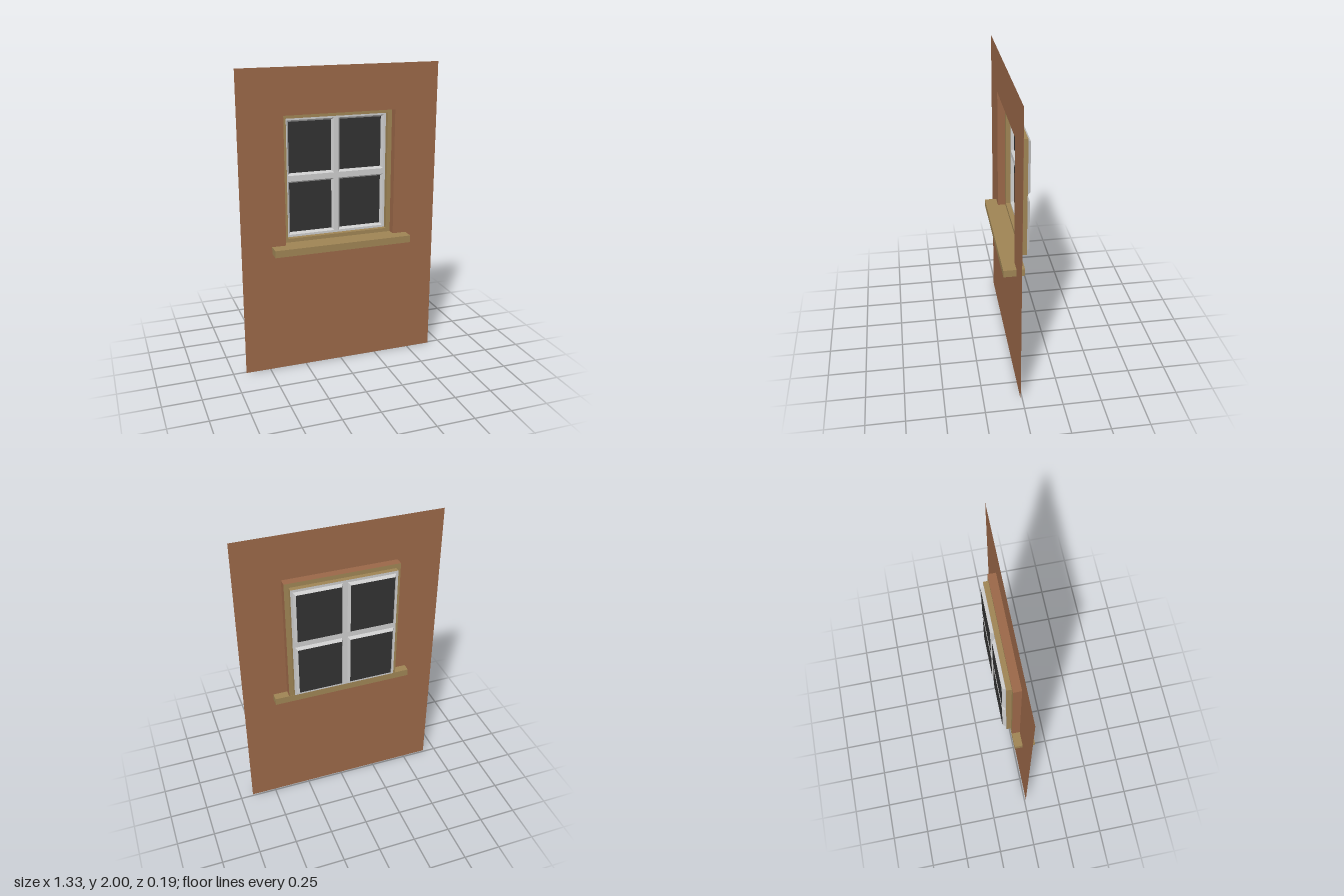
import * as THREE from 'three';

const paint = (color) => new THREE.MeshStandardMaterial({ color, flatShading: true, side: THREE.DoubleSide });
const brick = paint(0x9a6748);
const wood = paint(0x9e8454);
const white = paint(0xcccccc);
const glass = paint(0x323232);

// Rectangle as left, right, bottom, top
const rect = (l, r, b, t) => ({ l, r, b, t });
const inset = (q, d) => rect(q.l + d, q.r - d, q.b + d, q.t - d);

// Four-sided band joining rectangle a at depth za to rectangle b at depth zb
function band(a, za, b, zb) {
  const corners = (q, z) => [[q.l, q.b, z], [q.r, q.b, z], [q.r, q.t, z], [q.l, q.t, z]];
  const A = corners(a, za), B = corners(b, zb), pos = [];
  for (let i = 0; i < 4; i++) {
    const j = (i + 1) % 4;
    pos.push(...A[i], ...A[j], ...B[j], ...A[i], ...B[j], ...B[i]);
  }
  const g = new THREE.BufferGeometry();
  g.setAttribute('position', new THREE.Float32BufferAttribute(pos, 3));
  g.computeVertexNormals();
  return g;
}

// Flat sheet with rectangular holes
function sheet(q, holes, z) {
  const trace = (path, { l, r, b, t }) => path.moveTo(l, b).lineTo(r, b).lineTo(r, t).lineTo(l, t).closePath();
  const shape = trace(new THREE.Shape(), q);
  shape.holes = holes.map((h) => trace(new THREE.Path(), h));
  return new THREE.ShapeGeometry(shape).translate(0, 0, z);
}

export function createModel() {
  const model = new THREE.Group();
  const add = (name, geometry, material, parent = model) => {
    const mesh = new THREE.Mesh(geometry, material);
    mesh.name = name;
    parent.add(mesh);
    return mesh;
  };

  // Depths from the wall face back to the glass
  const zWall = 0.011, zFrame = -0.041, zSash = -0.073, zGlass = -0.093;
  const wall = rect(-0.665, 0.665, 0, 2);
  const opening = rect(-0.372, 0.372, 0.86, 1.705);
  const sash = rect(-0.343, 0.343, 0.891, 1.677);

  // Thin wall with its opening and the brick reveal behind it
  add('wall', sheet(wall, [opening], zWall), brick);
  add('reveal', band(opening, zWall, opening, zFrame), brick);

  // Timber frame: front face and inner return
  add('frameFace', sheet(opening, [sash], zFrame), wood);
  add('frameReturn', band(sash, zFrame, sash, zSash), wood);

  // Sash with four bevelled, recessed panes
  const panes = [];
  for (const [b, t] of [[0.906, 1.264], [1.302, 1.66]]) {
    panes.push(rect(-0.328, -0.016, b, t), rect(0.016, 0.328, b, t));
  }
  add('sash', sheet(sash, panes, zSash), white);
  panes.forEach((p, i) => {
    const pane = new THREE.Group();
    pane.name = `pane${i + 1}`;
    const inner = inset(p, 0.013);
    add('paneBevel', band(p, zSash, inner, zGlass), white, pane);
    add('paneGlass', sheet(inner, [], zGlass), glass, pane);
    model.add(pane);
  });

  // Projecting sill
  const sill = add('sill', new THREE.BoxGeometry(0.93, 0.047, 0.135), wood);
  sill.position.set(0, 0.8425, 0.0255);

  return model;
}
